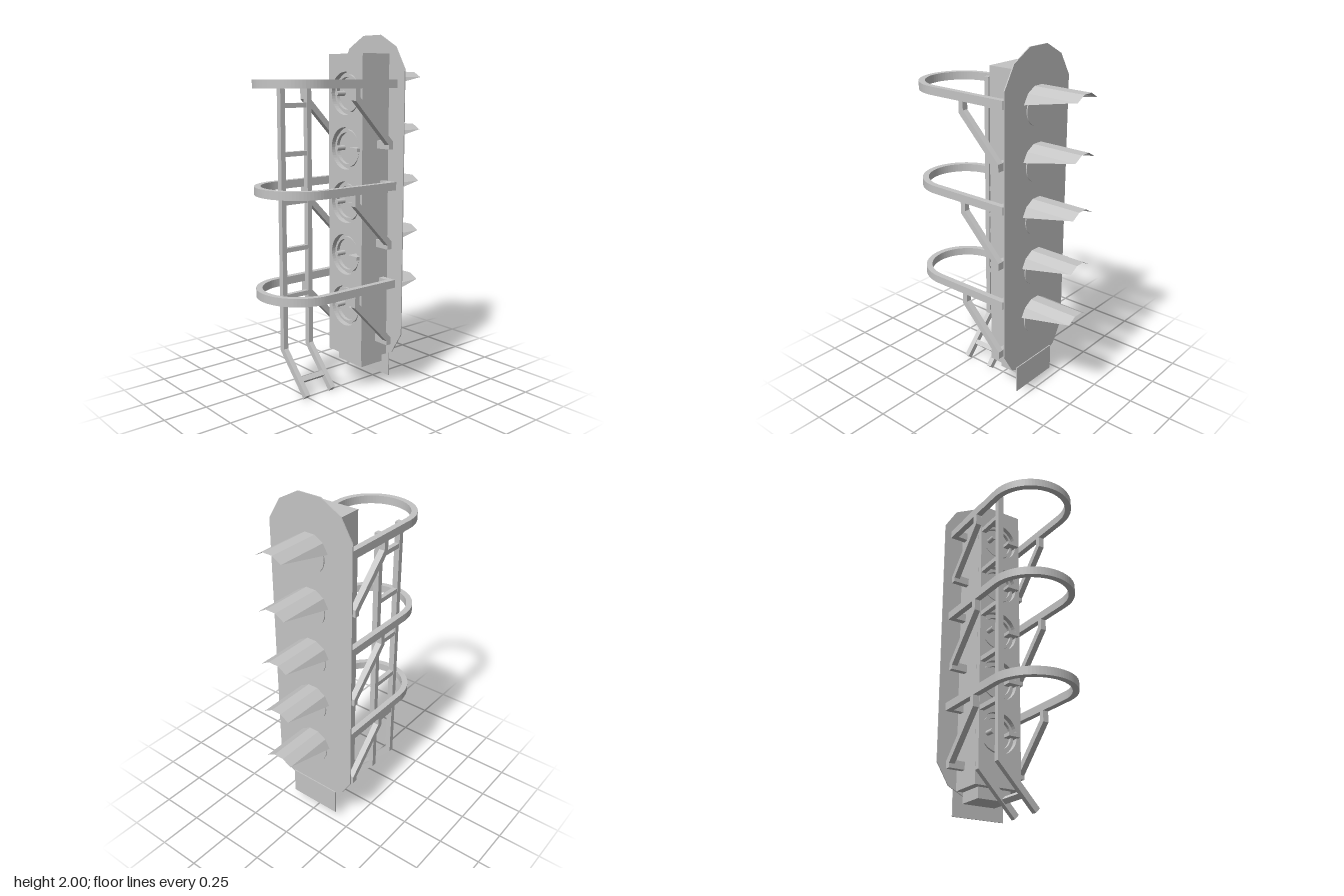
import * as THREE from 'three';

// double-sided because the visors are thin open shells
const grey = new THREE.MeshStandardMaterial({ color: 0xc4c4c4, side: THREE.DoubleSide });
grey.name = 'lightGrey';

const LAMPS = [1.69, 1.39, 1.088, 0.788, 0.485];
const HOOPS = [1.76, 1.207, 0.653];

function add(parent, name, geo) {
  const m = new THREE.Mesh(geo, grey);
  m.name = name;
  parent.add(m);
  return m;
}

// box given by its minimum and maximum on each axis
function box(parent, name, x0, x1, y0, y1, z0, z1) {
  const m = add(parent, name, new THREE.BoxGeometry(x1 - x0, y1 - y0, z1 - z0));
  m.position.set((x0 + x1) / 2, (y0 + y1) / 2, (z0 + z1) / 2);
  return m;
}

const polygon = pts => new THREE.Shape(pts.map(p => new THREE.Vector2(p[0], p[1])));
const extrude = (shape, depth, curveSegments = 24) =>
  new THREE.ExtrudeGeometry(shape, { depth, bevelEnabled: false, curveSegments });

// upper part of a 12-sided tube, cut away obliquely towards the tip
function visorGeometry() {
  const r = 0.117, z0 = -0.228, z1 = -0.529;
  const at = (deg, z) => {
    const a = THREE.MathUtils.degToRad(deg);
    return [r * Math.sin(a), r * Math.cos(a), z];
  };
  const pos = [];
  for (const a of [-45, -15, 15]) {
    const b = a + 30;
    pos.push(...at(a, z0), ...at(b, z1), ...at(b, z0), ...at(a, z0), ...at(a, z1), ...at(b, z1));
  }
  pos.push(...at(-75, z0), ...at(-45, z1), ...at(-45, z0));
  pos.push(...at(45, z0), ...at(45, z1), ...at(75, z0));
  const g = new THREE.BufferGeometry();
  g.setAttribute('position', new THREE.Float32BufferAttribute(pos, 3));
  g.computeVertexNormals();
  return g;
}

export function createModel() {
  const root = new THREE.Group();
  root.name = 'signalHead';

  // large backing plate with clipped corners
  const corners = [[0.07, 2], [0.19, 1.935], [0.262, 1.815], [0.262, 0.33], [0.19, 0.21], [0.07, 0.15]];
  const outline = [...corners, ...corners.map(([x, y]) => [-x, y]).reverse()];
  add(root, 'backingPlate', extrude(polygon(outline), 0.006)).position.z = -0.23;

  // housing: solid body, plus a door layer with round recesses
  const floor = -0.064, front = -0.031, coverDrop = -0.006;
  box(root, 'housing', -0.142, 0.142, 0.185, 1.897, -0.224, floor);
  const door = polygon([[-0.142, 0.185], [0.142, 0.185], [0.142, 1.897], [-0.142, 1.897]]);
  for (const y of LAMPS)
    door.holes.push(new THREE.Path().absarc(0, y + coverDrop, 0.117, 0, Math.PI * 2, true));
  add(root, 'housingFront', extrude(door, front - floor)).position.z = floor;

  // lower box and sign plate
  box(root, 'lowerBox', -0.1, 0.1, 0.125, 0.185, -0.228, -0.07);
  box(root, 'lowerPlate', -0.157, 0.157, 0.053, 0.21, -0.236, -0.23);

  // lamps: recessed cover with knob and handle in front, lens and visor behind
  const visor = visorGeometry();
  const ringShape = new THREE.Shape().absarc(0, 0, 0.102, 0, Math.PI * 2);
  ringShape.holes.push(new THREE.Path().absarc(0, 0, 0.088, 0, Math.PI * 2, true));
  const ring = extrude(ringShape, 0.02);
  const disc = new THREE.CylinderGeometry(0.092, 0.092, 0.008, 32).rotateX(Math.PI / 2);
  const knob = new THREE.CylinderGeometry(0.014, 0.014, 0.056, 12).rotateX(Math.PI / 2);
  for (const y of LAMPS) {
    const lamp = new THREE.Group();
    lamp.name = 'lamp';
    lamp.position.y = y;
    root.add(lamp);
    add(lamp, 'coverRing', ring).position.set(0, coverDrop, floor);
    add(lamp, 'coverKnob', knob).position.set(-0.048, coverDrop, -0.036);
    box(lamp, 'coverHandle', 0.053, 0.125, coverDrop - 0.01, coverDrop + 0.01, floor, -0.008);
    add(lamp, 'lens', disc).position.set(0, coverDrop, -0.232);
    add(lamp, 'visor', visor);
  }

  // safety hoops, U-shaped in plan with ends turned in to the housing
  const zc = 0.29;
  const u = new THREE.Shape();
  u.moveTo(0.14, -0.197);
  u.lineTo(0.237, -0.197);
  u.lineTo(0.237, zc);
  u.absarc(0, zc, 0.237, 0, Math.PI, false);
  u.lineTo(-0.237, -0.197);
  u.lineTo(-0.14, -0.197);
  u.lineTo(-0.14, -0.163);
  u.lineTo(-0.203, -0.163);
  u.lineTo(-0.203, zc);
  u.absarc(0, zc, 0.203, Math.PI, 0, true);
  u.lineTo(0.203, -0.163);
  u.lineTo(0.14, -0.163);
  const hoop = extrude(u, 0.045, 20).rotateX(Math.PI / 2);

  // diagonal strut below each hoop side, measured down from the hoop top
  const strut = extrude(polygon([
    [0.068, -0.04], [0.068, -0.09], [-0.168, -0.33], [-0.168, -0.372],
    [-0.138, -0.372], [-0.138, -0.348], [0.098, -0.108], [0.098, -0.04],
  ]), 0.034).rotateY(-Math.PI / 2);
  for (const y of HOOPS) {
    add(root, 'safetyHoop', hoop).position.y = y;
    for (const s of [1, -1]) {
      add(root, 'hoopStrut', strut).position.set(s > 0 ? 0.237 : -0.203, y, 0);
      const foot = box(root, 'strutFoot', 0.135, 0.205, -0.372, -0.328, -0.168, -0.138);
      foot.position.x *= s;
      foot.position.y += y;
    }
  }

  // ladder: two rails bent inwards at the bottom, with rungs between
  const rail = extrude(polygon([
    [-0.203, 1.75], [-0.203, 0.225], [0.012, 0], [0.035, 0.024], [-0.17, 0.24], [-0.17, 1.75],
  ]), 0.03);
  for (const z of [0.072, 0.252]) add(root, 'ladderRail', rail).position.z = z;
  for (const y of [1.62, 1.354, 1.085, 0.815, 0.545])
    box(root, 'ladderRung', -0.2, -0.173, y - 0.013, y + 0.013, 0.102, 0.252);
  const lowRung = box(root, 'ladderRung', -0.061, -0.031, 0.074, 0.1, 0.102, 0.252);
  lowRung.rotation.z = -Math.PI / 4;

  return root;
}
